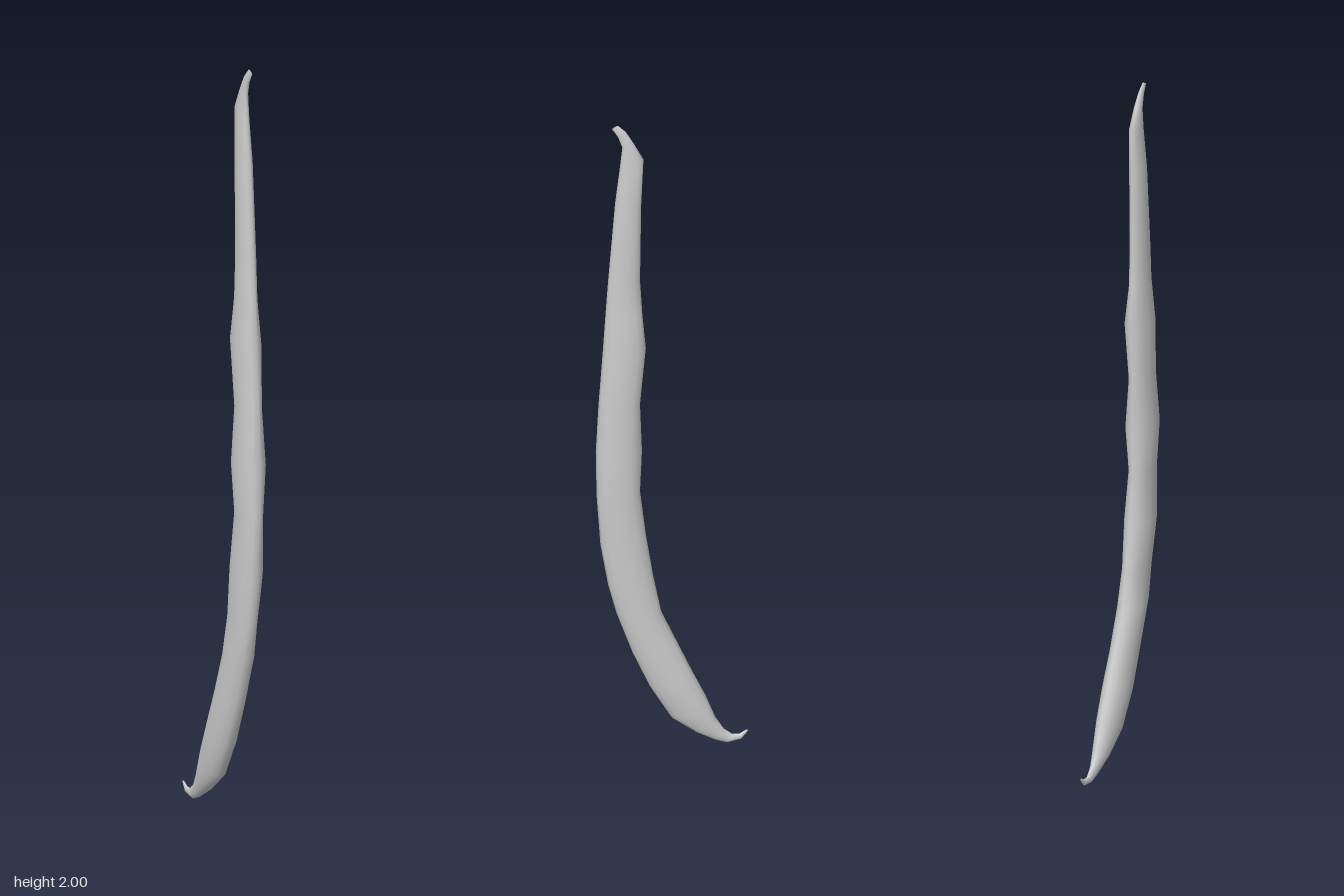
import * as THREE from 'three';

// Cross-sections from stem to tail: front edge z, y; back edge z, y; half width
const stations = [
  [0.158, 1.99, 0.142, 2.0, 0.003],
  [0.143, 1.965, 0.122, 1.98, 0.006],
  [0.131, 1.93, 0.103, 1.945, 0.01],
  [0.137, 1.87, 0.076, 1.89, 0.014],
  [0.15, 1.75, 0.082, 1.74, 0.019],
  [0.168, 1.5, 0.085, 1.5, 0.021],
  [0.175, 1.39, 0.079, 1.39, 0.022],
  [0.182, 1.27, 0.07, 1.28, 0.034],
  [0.193, 1.1, 0.085, 1.1, 0.028],
  [0.2, 0.95, 0.08, 0.95, 0.039],
  [0.198, 0.81, 0.085, 0.82, 0.029],
  [0.188, 0.65, 0.07, 0.68, 0.036],
  [0.168, 0.52, 0.05, 0.54, 0.03],
  [0.147, 0.43, 0.03, 0.43, 0.034],
  [0.105, 0.3, -0.015, 0.32, 0.032],
  [0.06, 0.19, -0.05, 0.235, 0.034],
  [0.005, 0.09, -0.085, 0.155, 0.03],
  [-0.06, 0.04, -0.11, 0.085, 0.021],
  [-0.11, 0.012, -0.133, 0.045, 0.011],
  [-0.14, 0.002, -0.155, 0.027, 0.007],
  [-0.178, 0.012, -0.174, 0.028, 0.005],
  [-0.196, 0.038, -0.19, 0.04, 0.002],
];

// Loft of closed oval rings, with a fan closing each end
function loftPod(rows, sides) {
  const pos = [], index = [];
  for (const [fz, fy, bz, by, w] of rows) {
    for (let i = 0; i < sides; i++) {
      const a = (i / sides) * Math.PI * 2;
      const k = (1 + Math.cos(a)) / 2;
      pos.push(Math.sin(a) * w, by + (fy - by) * k, bz + (fz - bz) * k);
    }
  }
  for (let r = 0; r < rows.length - 1; r++) {
    for (let i = 0; i < sides; i++) {
      const j = (i + 1) % sides;
      const a = r * sides + i, b = r * sides + j;
      index.push(a, a + sides, b, b, a + sides, b + sides);
    }
  }
  const last = (rows.length - 1) * sides;
  for (let i = 1; i < sides - 1; i++) {
    index.push(0, i, i + 1, last, last + i + 1, last + i);
  }
  const geo = new THREE.BufferGeometry();
  geo.setAttribute('position', new THREE.Float32BufferAttribute(pos, 3));
  geo.setIndex(index);
  geo.computeVertexNormals();
  return geo;
}

export function createModel() {
  const group = new THREE.Group();
  group.name = 'beanPod';
  // Curved pod with bean bulges, stem end and hooked tail
  const pod = new THREE.Mesh(loftPod(stations, 14), new THREE.MeshStandardMaterial({ color: 0xcccccc }));
  pod.name = 'pod';
  group.add(pod);
  return group;
}
